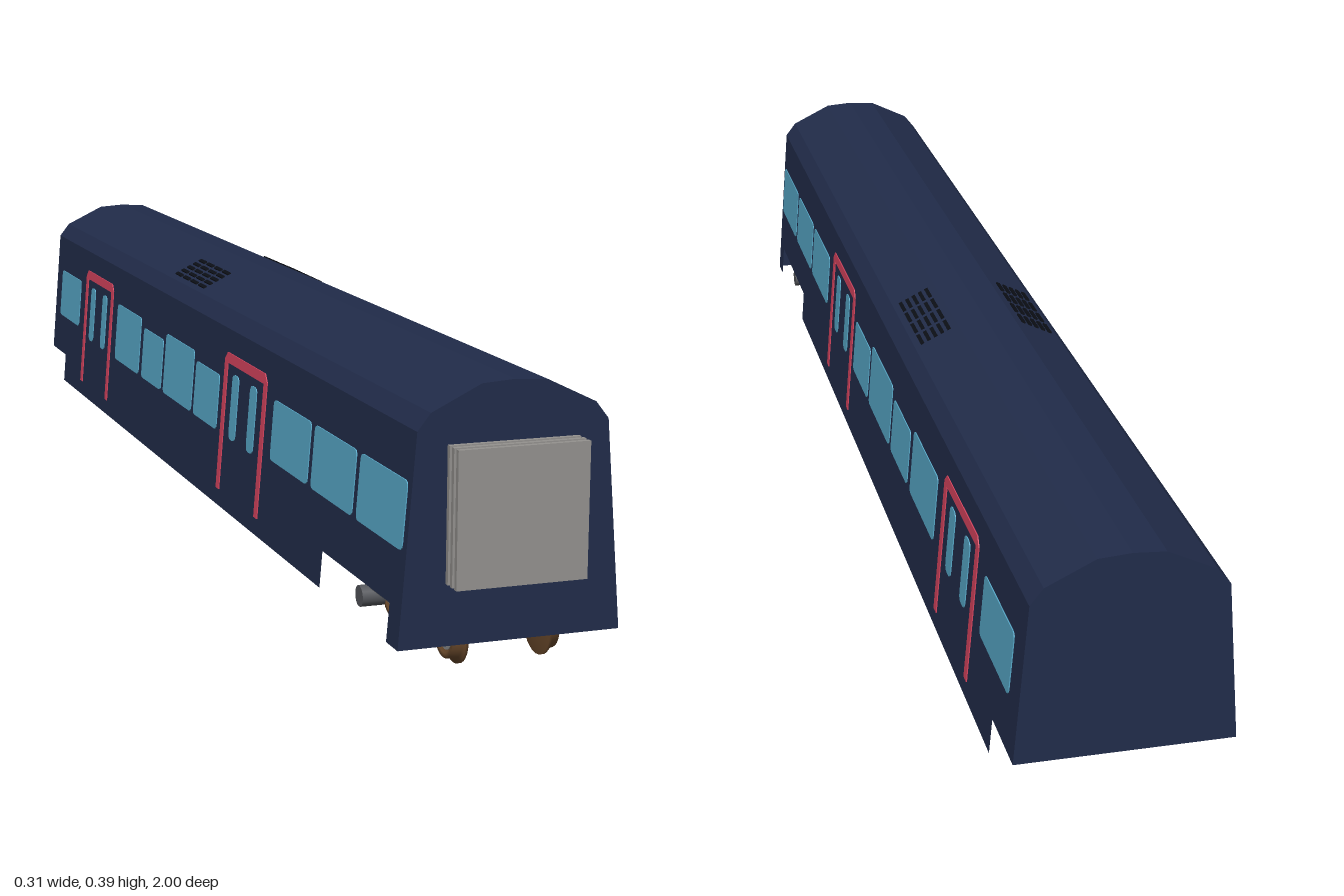
import * as THREE from 'three';

const mat = (color, flat = true) =>
  new THREE.MeshStandardMaterial({ color, flatShading: flat, side: THREE.DoubleSide });

const NAVY = mat(0x212c4a), GLASS = mat(0x58a9c9), RED = mat(0xd8445f), BLACK = mat(0x0c0f16);
const BELLOWS = mat(0x94928f), STEEL = mat(0x55575c, false), RUST = mat(0x6b4a2c, false), HUB = mat(0x8f8f8f, false);

const FRONT = 0.965, BACK = -1, SILL = 0.046, STEP = 0.098, EAVE = 0.327;
const wallX = y => 0.154 - (y - SILL) * (0.023 / (EAVE - SILL));
const ROOF = [[0.131, EAVE], [0.113, 0.35], [0.045, 0.383], [0, 0.386], [-0.045, 0.383], [-0.113, 0.35], [-0.131, EAVE]];

function add(parent, name, geometry, material, x = 0, y = 0, z = 0) {
  const mesh = new THREE.Mesh(geometry, material);
  mesh.name = name;
  mesh.position.set(x, y, z);
  parent.add(mesh);
  return mesh;
}

// Stand a shape drawn in (-z, y) against the sloping side wall
function lean(geometry, offset = 0) {
  const p = geometry.attributes.position;
  for (let i = 0; i < p.count; i++) {
    const u = p.getX(i), y = p.getY(i), d = p.getZ(i);
    p.setXYZ(i, wallX(y) + d + offset, y, -u);
  }
  geometry.computeVertexNormals();
  return geometry;
}

const panel = shape => lean(new THREE.ExtrudeGeometry(shape, { depth: 0.003, bevelEnabled: false, curveSegments: 3 }), -0.0015);

function roundedRect(z0, z1, y0, y1, r) {
  const a = -z0, b = -z1, s = new THREE.Shape();
  s.moveTo(a + r, y0);
  s.lineTo(b - r, y0); s.quadraticCurveTo(b, y0, b, y0 + r);
  s.lineTo(b, y1 - r); s.quadraticCurveTo(b, y1, b - r, y1);
  s.lineTo(a + r, y1); s.quadraticCurveTo(a, y1, a, y1 - r);
  s.lineTo(a, y0 + r); s.quadraticCurveTo(a, y0, a + r, y0);
  return s;
}

// Upside-down U around a doorway
function doorFrame(z0, z1) {
  const a = -z0, b = -z1, w = 0.016, c = 0.012, y0 = 0.072, y1 = 0.291;
  return new THREE.Shape([[a, y0], [a + w, y0], [a + w, y1 - w], [b - w, y1 - w], [b - w, y0], [b, y0],
    [b, y1 - c], [b - c, y1], [a + c, y1], [a, y1 - c]].map(p => new THREE.Vector2(...p)));
}

function buildSide() {
  const side = new THREE.Group();
  // Wall with cut-outs for the wheels and the rear end
  const outline = [[FRONT, SILL], [0.925, SILL], [0.925, STEP], [0.67, STEP], [0.67, SILL], [-0.89, SILL],
    [-0.89, STEP], [BACK, STEP], [BACK, EAVE], [FRONT, EAVE]];
  add(side, 'sideWall', lean(new THREE.ShapeGeometry(
    new THREE.Shape(outline.map(([z, y]) => new THREE.Vector2(-z, y))))), NAVY);
  // Windows: front z, rear z, bottom, top
  const windows = [[0.952, 0.786, 0.172, 0.262], [0.77, 0.604, 0.172, 0.262], [0.588, 0.422, 0.172, 0.262],
    [0.15, 0.02, 0.16, 0.248], [0.005, -0.166, 0.16, 0.262], [-0.182, -0.31, 0.16, 0.248],
    [-0.332, -0.5, 0.16, 0.262], [-0.793, -0.953, 0.172, 0.262]];
  for (const w of windows) add(side, 'window', panel(roundedRect(...w, 0.009)), GLASS);
  // Double doors
  for (const z of [0.278, -0.645]) {
    add(side, 'doorFrame', panel(doorFrame(z + 0.106, z - 0.106)), RED);
    for (const d of [0.045, -0.045])
      add(side, 'doorWindow', panel(roundedRect(z + d + 0.016, z + d - 0.016, 0.16, 0.262, 0.011)), GLASS);
  }
  // Roof vent slats following the roof slope
  const slope = Math.atan2(0.033, 0.068);
  for (let row = 0; row < 4; row++)
    for (let i = 0; i < 5; i++) {
      const x = 0.059 + i * 0.0105;
      const slat = add(side, 'roofVentSlat', new THREE.BoxGeometry(0.006, 0.005, 0.033), BLACK,
        x, 0.383 - (x - 0.045) * (0.033 / 0.068), -0.07 - row * 0.046);
      slat.rotation.z = -slope;
    }
  return side;
}

function endWall(bottom) {
  return new THREE.ShapeGeometry(new THREE.Shape(
    [[-wallX(bottom), bottom], [wallX(bottom), bottom], ...ROOF].map(p => new THREE.Vector2(...p))));
}

// Roof swept along the length
function roofGeometry() {
  const g = new THREE.PlaneGeometry(1, 1, ROOF.length - 1, 1), p = g.attributes.position;
  for (let i = 0; i < p.count; i++) {
    const [x, y] = ROOF[ROOF.length - 1 - (i % ROOF.length)];
    p.setXYZ(i, x, y, i < ROOF.length ? BACK : FRONT);
  }
  g.computeVertexNormals();
  return g;
}

function buildBogie() {
  const bogie = new THREE.Group();
  bogie.name = 'bogie';
  bogie.position.set(0.011, 0, 0.805);
  const across = (r, len) => new THREE.CylinderGeometry(r, r, len, 20).rotateZ(Math.PI / 2);
  // Flanged wheel, flange on the inner face
  const wheelProfile = [[0.012, 0], [0.042, 0], [0.042, 0.004], [0.036, 0.006], [0.034, 0.018], [0.027, 0.018],
    [0.024, 0.012], [0.012, 0.012]].map(p => new THREE.Vector2(...p));
  for (const z of [0.0935, -0.0935]) {
    add(bogie, 'axle', across(0.009, 0.24), STEEL, 0, 0.042, z);
    for (const s of [1, -1]) {
      const wheel = add(bogie, 'wheel', new THREE.LatheGeometry(wheelProfile, 28), RUST, s * 0.057, 0.042, z);
      wheel.rotation.z = -s * Math.PI / 2;
      add(bogie, 'hub', across(0.023, 0.006), HUB, s * 0.07, 0.042, z);
      add(bogie, 'axleBox', across(0.015, 0.034), STEEL, s * 0.105, 0.042, z);
    }
  }
  // Frame
  for (const s of [1, -1]) {
    add(bogie, 'sideBeam', new THREE.BoxGeometry(0.018, 0.018, 0.21), STEEL, s * 0.1, 0.063, 0);
    add(bogie, 'spring', new THREE.CylinderGeometry(0.014, 0.014, 0.03, 12), HUB, s * 0.085, 0.085, 0);
  }
  add(bogie, 'bolster', new THREE.BoxGeometry(0.2, 0.016, 0.06), STEEL, 0, 0.068, 0);
  return bogie;
}

export function createModel() {
  const model = new THREE.Group();
  model.name = 'railwayCarriage';

  // Body shell, open underneath
  const left = buildSide(), right = buildSide();
  left.name = 'leftSide';
  right.name = 'rightSide';
  right.scale.x = -1;
  model.add(left, right);
  add(model, 'roof', roofGeometry(), NAVY);
  add(model, 'frontEnd', endWall(SILL), NAVY, 0, 0, FRONT);
  add(model, 'rearEnd', endWall(STEP), NAVY, 0, 0, BACK).rotation.y = Math.PI;

  // Folded gangway bellows
  const gangway = new THREE.Group();
  gangway.name = 'gangway';
  for (let i = 0; i < 5; i++) {
    const inset = i % 2 ? 0.008 : 0;
    add(gangway, 'bellowsFold', new THREE.BoxGeometry(0.18 - inset, 0.18 - inset, 0.007), BELLOWS, 0, 0.218, FRONT + 0.0035 + i * 0.007);
  }
  model.add(gangway, buildBogie());
  return model;
}
